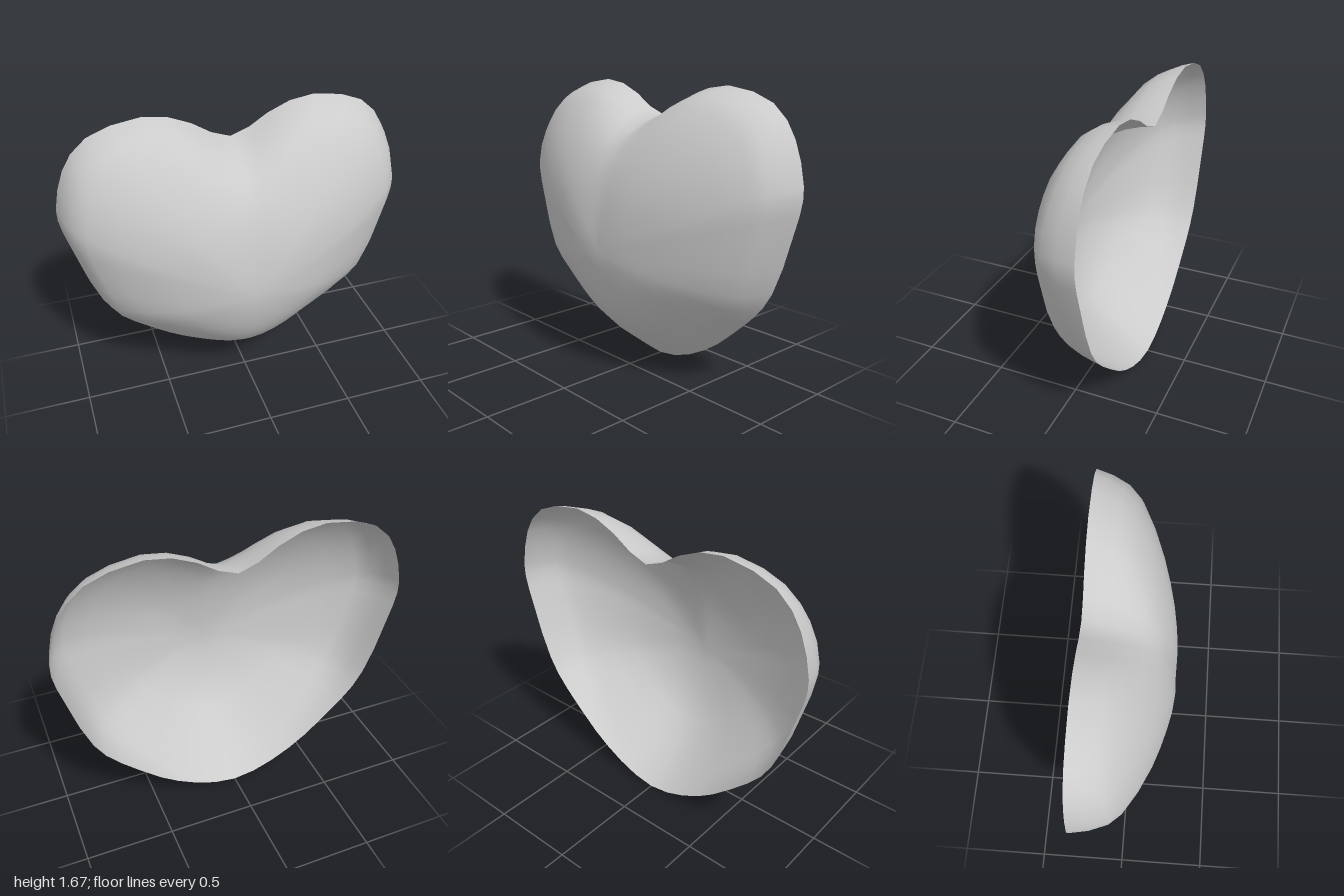
import * as THREE from 'three';

const { lerp, smoothstep } = THREE.MathUtils;

// Right half of the heart rim, from the bottom tip up to the notch
const HALF = [
  [0, 0], [0.13, 0.02], [0.25, 0.065], [0.37, 0.13], [0.47, 0.2], [0.59, 0.305], [0.7, 0.41],
  [0.78, 0.5], [0.84, 0.6], [0.9, 0.755], [0.945, 0.91], [0.985, 1.05], [1, 1.13], [1, 1.2],
  [0.975, 1.32], [0.935, 1.43], [0.88, 1.52], [0.79, 1.6], [0.66, 1.65], [0.49, 1.675],
  [0.35, 1.655], [0.22, 1.6], [0.11, 1.53], [0, 1.49],
];

// Rings from rim to crown: [scale, height at the tip, on the sides, on the lobes]
const RINGS = [
  [1, 0, 0, 0], [0.98, 0.04, 0.2, 0.13], [0.94, 0.12, 0.385, 0.29], [0.88, 0.235, 0.505, 0.43],
  [0.75, 0.475, 0.65, 0.61], [0.6, 0.705, 0.775, 0.755], [0.48, 0.815, 0.85, 0.845],
  [0.37, 0.89, 0.905, 0.91], [0.25, 0.945, 0.955, 0.955], [0.13, 0.985, 0.985, 0.985],
];

const CENTER_Y = 0.75;
const BACK = -0.26;
const DEPTH = 0.523;
const DIP = 0.01;

function domeGeometry() {
  const rim = [...HALF, ...HALF.slice(1, -1).reverse().map(([x, y]) => [-x, y])];
  const n = rim.length;
  const positions = [];
  const index = [];

  // Shrink the rim towards the crown, softening the notch on the way in
  for (const [s, tip, side, lobe] of RINGS) {
    const soften = 0.47 * s ** 1.5 * (1 - s) * smoothstep(1 - s, 0, 0.35);
    for (const [rx, ry] of rim) {
      const lower = lerp(tip, side, smoothstep(ry, 0, 0.7));
      const h = lerp(lower, lobe, smoothstep(ry, 1.25, 1.65));
      const fill = ry > 1 ? soften * Math.exp(-((rx / 0.25) ** 2)) : 0;
      const x = rx * s;
      const dip = DIP * h ** 4 * Math.exp(-((x / 0.11) ** 2));
      positions.push(x, CENTER_Y + (ry - CENTER_Y) * s + fill, BACK + DEPTH * h - dip);
    }
  }
  const crown = RINGS.length * n;
  positions.push(0, CENTER_Y, BACK + DEPTH - DIP);

  for (let i = 0; i < RINGS.length; i++) {
    for (let j = 0; j < n; j++) {
      const k = (j + 1) % n;
      const a = i * n + j;
      const b = i * n + k;
      if (i === RINGS.length - 1) index.push(a, b, crown);
      else index.push(a, b, b + n, a, b + n, a + n);
    }
  }

  const geometry = new THREE.BufferGeometry();
  geometry.setAttribute('position', new THREE.Float32BufferAttribute(positions, 3));
  geometry.setIndex(index);
  geometry.computeVertexNormals();
  return geometry;
}

export function createModel() {
  const group = new THREE.Group();
  group.name = 'heart';
  // Thin heart-shaped dome, open at the back
  const shell = new THREE.Mesh(
    domeGeometry(),
    new THREE.MeshStandardMaterial({ color: 0xcccccc, side: THREE.DoubleSide }),
  );
  shell.name = 'heartShell';
  group.add(shell);
  return group;
}
